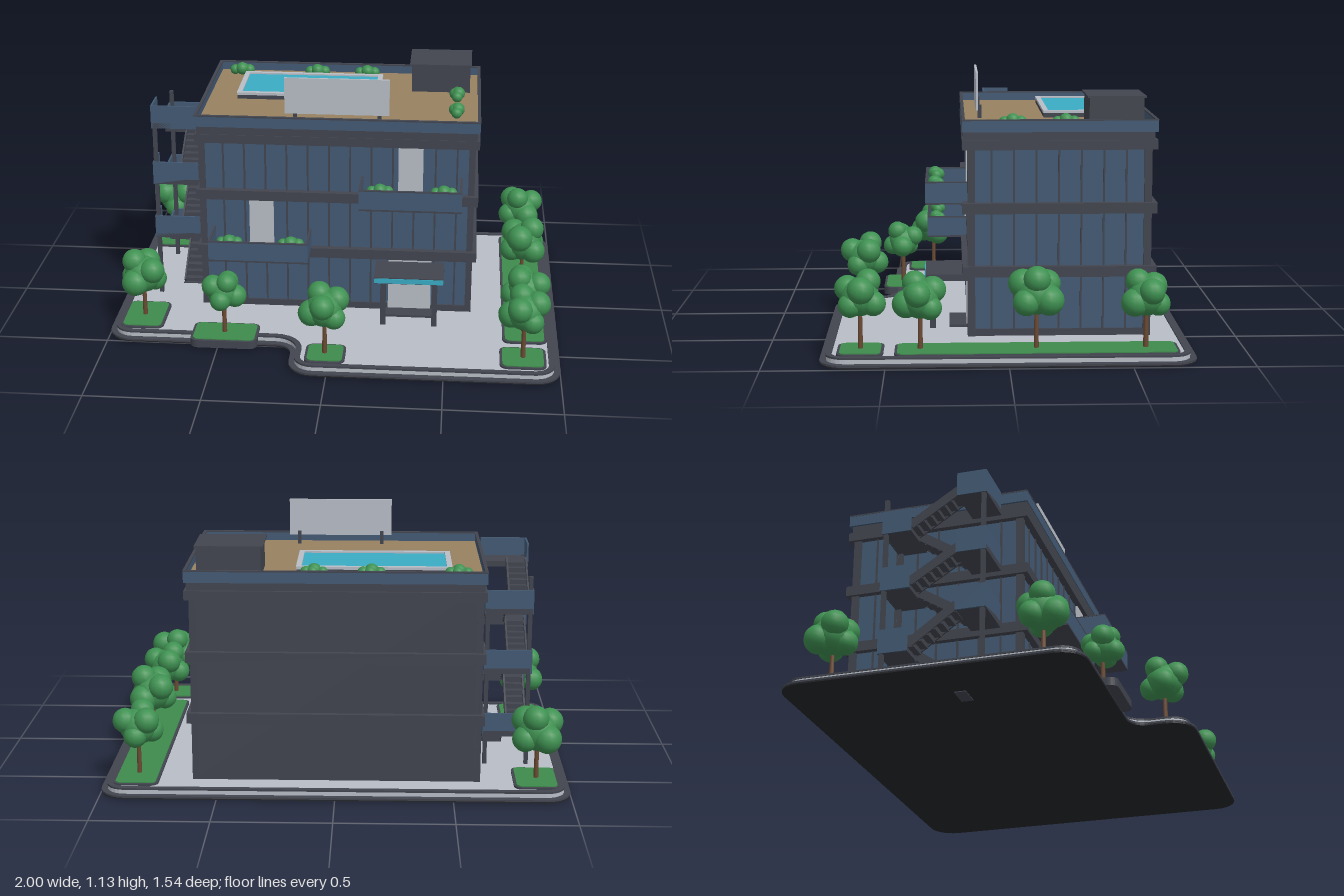
import * as THREE from 'three';

const colour = (name, hex, side = THREE.FrontSide) => {
  const m = new THREE.MeshStandardMaterial({ color: hex, side });
  m.name = name;
  return m;
};

export function createModel() {
  const model = new THREE.Group();
  model.name = 'apartmentBuilding';
  const M = {
    glass: colour('blue glass', 0x435a74),
    frame: colour('dark grey', 0x42454f),
    black: colour('near black', 0x25262b),
    stone: colour('pale stone', 0xb9bec7),
    deck: colour('wood deck', 0x978161),
    water: colour('pool water', 0x3aacc4),
    grass: colour('grass', 0x3f8b4d),
    leaf: colour('foliage', 0x3f9152),
    bark: colour('bark', 0x6b4a33),
  };
  let parent = model;
  const group = (name, build) => {
    const old = parent, g = new THREE.Group();
    g.name = name;
    old.add(g);
    parent = g;
    build(g);
    parent = old;
    return g;
  };
  const add = (name, geo, mat, x = 0, y = 0, z = 0) => {
    const m = new THREE.Mesh(geo, mat);
    m.name = name;
    m.position.set(x, y, z);
    parent.add(m);
    return m;
  };
  // box given by its limits on each axis
  const box = (name, mat, x0, x1, y0, y1, z0, z1) =>
    add(name, new THREE.BoxGeometry(x1 - x0, y1 - y0, z1 - z0), mat,
      (x0 + x1) / 2, (y0 + y1) / 2, (z0 + z1) / 2);

  // polygon with rounded corners; pts are [x, z, radius]
  const rounded = (pts, Type = THREE.Shape) => {
    const s = new Type(), n = pts.length;
    pts.forEach(([x, z, r], i) => {
      const c = new THREE.Vector2(x, z);
      const toward = ([px, pz]) => new THREE.Vector2(px, pz).sub(c).setLength(r).add(c);
      const a = toward(pts[(i + n - 1) % n]), b = toward(pts[(i + 1) % n]);
      if (i) s.lineTo(a.x, a.y); else s.moveTo(a.x, a.y);
      const k = 0.56;
      s.bezierCurveTo(a.x + (x - a.x) * k, a.y + (z - a.y) * k, b.x + (x - b.x) * k, b.y + (z - b.y) * k, b.x, b.y);
    });
    s.closePath();
    return s;
  };
  const slab = (name, mat, shape, y0, y1) => {
    const g = new THREE.ExtrudeGeometry(shape, { depth: y1 - y0, bevelEnabled: false, curveSegments: 6 });
    g.rotateX(Math.PI / 2);
    return add(name, g, mat, 0, y1, 0);
  };
  // plot outline inset by d
  const plot = (d, Type) => rounded([
    [-1 + d, -0.77 + d, 0.11 - d], [1 - d, -0.77 + d, 0.11 - d], [1 - d, 0.77 - d, 0.11 - d],
    [-0.17 + d, 0.77 - d, 0.11 - d], [-0.17 + d, 0.51 - d, 0.08 + d], [-1 + d, 0.51 - d, 0.11 - d],
  ], Type);
  const patch = (x0, x1, z0, z1, r, d, Type) => rounded([
    [x0 + d, z0 + d, r - d], [x1 - d, z0 + d, r - d], [x1 - d, z1 - d, r - d], [x0 + d, z1 - d, r - d]], Type);

  group('ground', () => {
    slab('baseSlab', M.black, plot(0.002), 0.008, 0.014);
    slab('lowerLip', M.frame, plot(0), 0.014, 0.022);
    slab('paving', M.stone, plot(0.027), 0.022, 0.042);
    const curb = plot(0.025);
    curb.holes.push(plot(0.05, THREE.Path));
    slab('curb', M.frame, curb, 0.04, 0.048);
    [[-0.955, -0.76, -0.7, -0.45], [-0.955, -0.76, 0.185, 0.445], [-0.62, -0.325, 0.375, 0.555],
      [0.755, 0.95, -0.7, 0.465], [0.74, 0.94, 0.51, 0.7], [-0.1, 0.075, 0.545, 0.715]].forEach((p) => {
      slab('planterBorder', M.frame, patch(...p, 0.035, 0), 0.015, 0.05);
      slab('lawn', M.grass, patch(...p, 0.035, 0.011), 0.045, 0.054);
    });
  });

  // building body, floor bands, parapet
  group('building', () => {
    box('core', M.glass, -0.605, 0.6, 0.04, 0.9, -0.6, 0.155);
    box('backWall', M.frame, -0.612, 0.607, 0.04, 0.9, -0.612, -0.59);
    box('plinth', M.frame, -0.612, 0.607, 0.04, 0.072, -0.61, 0.163);
    [[0.3, 0.345], [0.57, 0.615], [0.84, 0.88]].forEach(([a, b]) =>
      box('floorBand', M.frame, -0.632, 0.632, a, b, -0.635, 0.185));
    box('roofBand', M.frame, -0.622, 0.622, 0.88, 0.92, -0.622, 0.182);
    box('roofDeck', M.deck, -0.62, 0.62, 0.92, 0.926, -0.622, 0.17);
    [[-0.632, 0.632, 0.173, 0.185], [-0.632, 0.632, -0.635, -0.623],
      [-0.632, -0.62, -0.623, 0.173], [0.62, 0.632, -0.623, 0.173]].forEach(([x0, x1, z0, z1]) => {
      box('parapet', M.glass, x0, x1, 0.915, 0.962, z0, z1);
      box('parapetCap', M.frame, x0 - 0.001, x1 + 0.001, 0.962, 0.968, z0 - 0.001, z1 + 0.001);
    });
    // window mullions and corner posts
    for (let x = -0.51; x < 0.56; x += 0.095) box('frontMullion', M.frame, x - 0.004, x + 0.004, 0.06, 0.85, 0.15, 0.161);
    for (const s of [-1, 1]) {
      const x = s < 0 ? -0.605 : 0.6;
      for (let i = 0; i < 7; i++) {
        const z = 0.062 - i * 0.0947;
        box('sideMullion', M.frame, x - 0.006, x + 0.006, 0.06, 0.85, z - 0.004, z + 0.004);
      }
      for (const z of [0.147, -0.597]) box('cornerPost', M.frame, x - 0.014, x + 0.014, 0.04, 0.85, z - 0.016, z + 0.016);
    }
    // doors
    [[-0.395, -0.285, 0.345, 0.57], [0.275, 0.385, 0.615, 0.84], [0.235, 0.43, 0.05, 0.3]].forEach(([x0, x1, y0, y1]) =>
      box('door', M.stone, x0, x1, y0, y1, 0.158, 0.166));
  });

  group('entrance', () => {
    box('canopyRoof', M.frame, 0.18, 0.49, 0.255, 0.284, 0.16, 0.343);
    box('canopyTrim', M.water, 0.182, 0.488, 0.258, 0.28, 0.34, 0.347);
    for (const x of [0.22, 0.45]) box('canopyPost', M.frame, x - 0.012, x + 0.012, 0.04, 0.256, 0.3, 0.324);
    box('doorStep', M.frame, 0.22, 0.445, 0.04, 0.052, 0.16, 0.24);
  });

  // small shrub of four lobes, laid along x or z
  const ball = new THREE.SphereGeometry(1, 14, 10);
  const shrub = (x, y, z, alongZ) => group('shrub', (g) => {
    g.position.set(x, y, z);
    if (alongZ) g.rotation.y = Math.PI / 2;
    [[-0.035, 0.025, 0, 0.024], [0, 0.032, 0.006, 0.03], [0.035, 0.026, 0, 0.025], [0.006, 0.028, -0.01, 0.026]]
      .forEach(([a, b, c, r]) => add('leaves', ball, M.leaf, a, b, c).scale.setScalar(r));
  });

  const balcony = (x0, x1, y) => group('balcony', () => {
    const top = y + 0.092, z0 = 0.16, z1 = 0.34, t = 0.009;
    box('balconyFloor', M.stone, x0 + t, x1 - t, y + 0.008, y + 0.022, z0, z1 - t);
    box('balconySoffit', M.frame, x0, x1, y, y + 0.008, z0, z1);
    box('balconyFront', M.glass, x0, x1, y + 0.008, top, z1 - t, z1);
    box('balconyRail', M.frame, x0, x1, top, top + 0.005, z1 - t - 0.001, z1 + 0.001);
    for (const x of [x0, x1 - t]) {
      box('balconySide', M.glass, x, x + t, y + 0.008, top, z0, z1 - t);
      box('balconyRail', M.frame, x - 0.001, x + t + 0.001, top, top + 0.005, z0, z1);
    }
    for (const f of [0.2, 0.82]) shrub(x0 + (x1 - x0) * f, top - 0.04, 0.295, false);
  });
  balcony(-0.56, -0.115, 0.335);
  balcony(0.11, 0.56, 0.6);

  group('roofTerrace', () => {
    box('poolWall', M.frame, -0.488, 0.168, 0.92, 0.945, -0.503, -0.182);
    const rim = patch(-0.49, 0.17, -0.505, -0.18, 0.003, 0);
    rim.holes.push(patch(-0.467, 0.147, -0.482, -0.203, 0.003, 0, THREE.Path));
    slab('poolRim', M.stone, rim, 0.945, 0.957);
    box('poolWater', M.water, -0.467, 0.147, 0.944, 0.95, -0.482, -0.203);
    box('roofHut', M.frame, 0.312, 0.583, 0.92, 1.055, -0.58, -0.35);
    box('hutLid', M.frame, 0.302, 0.59, 1.053, 1.061, -0.588, -0.341);
    box('screen', M.stone, -0.235, 0.23, 0.965, 1.13, 0.11, 0.12);
    for (const x of [-0.19, 0.185]) box('screenPost', M.frame, x - 0.008, x + 0.008, 0.92, 0.985, 0.095, 0.111);
    for (const x of [-0.515, -0.15, 0.09]) shrub(x, 0.922, -0.56, false);
    for (const z of [-0.255, -0.03]) shrub(0.525, 0.922, z, true);
  });

  // outside staircase: inner flights rise to the back, outer flights return to the front
  group('staircase', () => {
    const flight = (x0, x1, y0, y1, zA, zB) => {
      const n = 7, dz = (zB - zA) / n, dy = (y1 - y0) / n;
      for (let i = 0; i < n; i++) {
        const a = zA + i * dz, top = y0 + (i + 1) * dy;
        box('step', M.frame, x0, x1, top - dy * 1.3, top, Math.min(a, a + dz), Math.max(a, a + dz));
      }
      for (const x of [x0, x1]) {
        const s = add('stringer', new THREE.BoxGeometry(0.008, 0.04, Math.hypot(zB - zA, y1 - y0)), M.frame,
          x, (y0 + y1) / 2 + 0.005, (zA + zB) / 2);
        s.rotation.x = -Math.atan((y1 - y0) / (zB - zA));
      }
    };
    const X0 = -0.845, X1 = -0.64;
    const landing = (y, z0, z1, endZ, inner) => {
      box('landing', M.frame, X0, inner ? X1 : -0.61, y - 0.025, y, z0, z1);
      box('landingEndRail', M.glass, X0, X1, y - 0.025, y + 0.082, endZ - 0.004, endZ + 0.004);
      box('landingSideRail', M.glass, X0 - 0.002, X0 + 0.006, y - 0.025, y + 0.082, z0, z1);
      if (inner) box('landingInnerRail', M.glass, X1 - 0.006, X1 + 0.002, y - 0.025, y + 0.082, z0, z1);
    };
    const floors = [0.04, 0.35, 0.615, 0.885];
    for (let i = 0; i < 3; i++) {
      const mid = (floors[i] + floors[i + 1]) / 2;
      flight(-0.74, -0.65, floors[i], mid, -0.055, -0.265);
      flight(-0.835, -0.75, mid, floors[i + 1], -0.265, -0.055);
      landing(mid, -0.39, -0.262, -0.386, true);
      landing(floors[i + 1], -0.06, 0.07, 0.066, false);
    }
    box('stairFoot', M.frame, -0.745, -0.645, 0.004, 0.045, -0.09, -0.04);
    for (const z of [0.056, -0.376]) box('stairPost', M.frame, -0.842, -0.824, 0.03, 0.89, z - 0.009, z + 0.009);
    box('stairPost', M.frame, -0.66, -0.642, 0.03, 0.76, -0.385, -0.367);
  });

  // trees: x, z, crown height, crown size, turn
  const crown = [[0, 0, 0, 0.08], [0.045, 0.035, 0.03, 0.056], [-0.05, 0.03, 0.025, 0.054], [0.01, 0.06, -0.035, 0.052],
    [-0.035, -0.02, -0.045, 0.058], [0.05, -0.025, -0.03, 0.052], [0.0, -0.03, 0.05, 0.05]];
  [[-0.86, -0.58, 0.265, 1.08, 0], [-0.86, 0.32, 0.255, 1.05, 2], [-0.475, 0.465, 0.25, 0.88, 4], [-0.015, 0.63, 0.265, 1, 1],
    [0.85, -0.565, 0.265, 1, 3], [0.85, -0.115, 0.28, 1.08, 5], [0.85, 0.36, 0.26, 1, 2.5], [0.84, 0.605, 0.27, 1, 0.7],
  ].forEach(([x, z, y, s, turn]) => group('tree', (g) => {
    g.position.set(x, 0, z);
    g.rotation.y = turn;
    add('trunk', new THREE.CylinderGeometry(0.008, 0.011, y - 0.04, 8), M.bark, 0, (y + 0.04) / 2, 0);
    crown.forEach(([a, b, c, r]) => add('crown', ball, M.leaf, a * s, y + b * s, c * s).scale.setScalar(r * s));
  }));

  return model;
}
